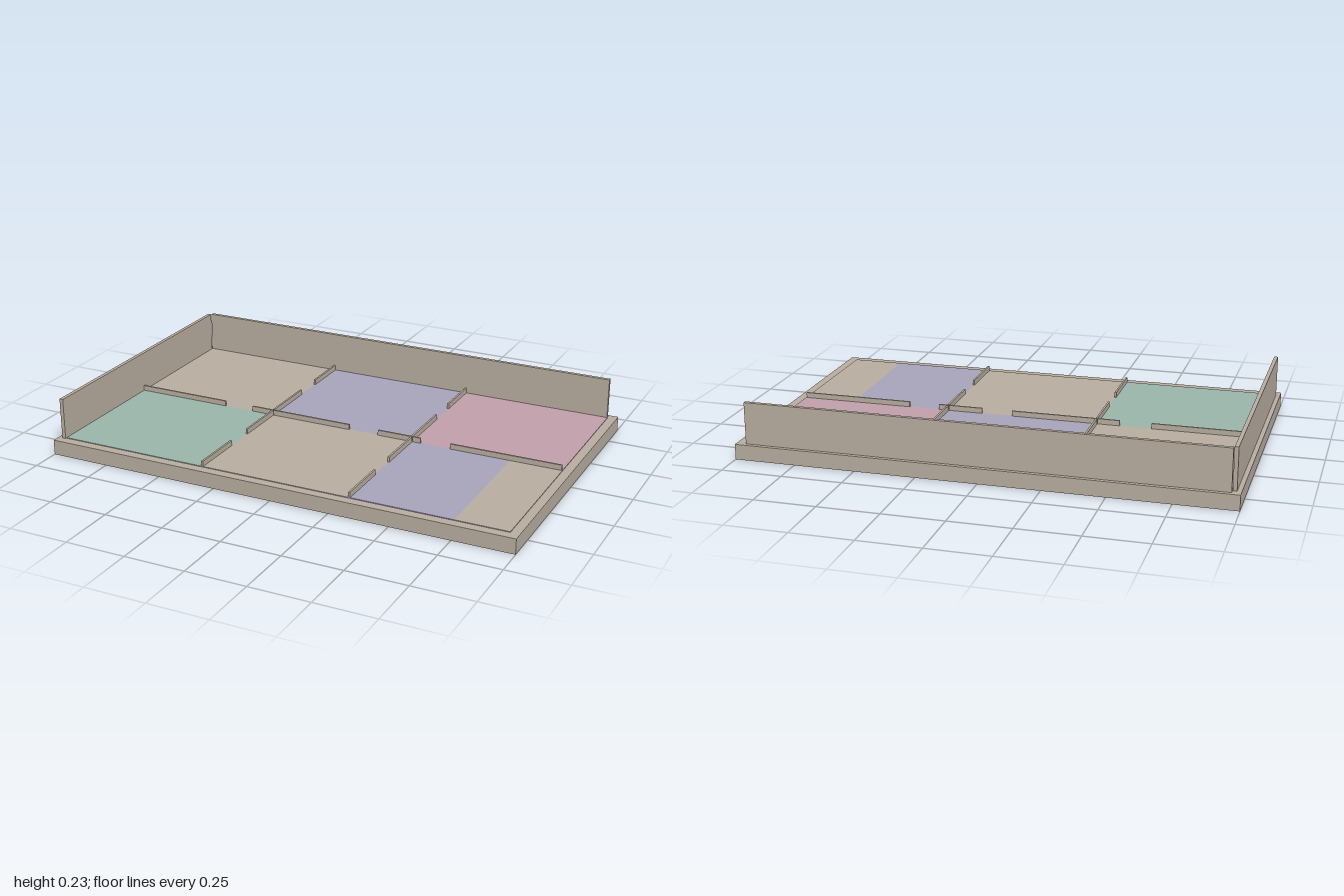
import * as THREE from 'three';

const material = (name, color) => {
  const m = new THREE.MeshStandardMaterial({ color });
  m.name = name;
  return m;
};

export function createModel() {
  const model = new THREE.Group();
  model.name = 'floorPlan';
  const stone = material('warm stone', 0xb8aea0);
  const lilac = material('muted lilac', 0xa8a3bb);
  const rose = material('muted rose', 0xc09fab);
  const sage = material('muted sage', 0x9bb5ab);

  // Box given by its extents on each axis
  const block = (name, mat, [x0, x1], [y0, y1], [z0, z1]) => {
    const mesh = new THREE.Mesh(new THREE.BoxGeometry(x1 - x0, y1 - y0, z1 - z0), mat);
    mesh.position.set((x0 + x1) / 2, (y0 + y1) / 2, (z0 + z1) / 2);
    mesh.name = name;
    model.add(mesh);
  };

  const top = 0.063, wallTop = 0.235, partitionTop = 0.088, t = 0.004;

  // Base slab and the two tall outer walls
  block('base', stone, [-1, 1], [0, top], [-0.625, 0.625]);
  block('backWall', stone, [-0.965, 0.96], [top, wallTop], [-0.608, -0.592]);
  block('rightWall', stone, [-0.982, -0.966], [top, wallTop], [-0.59, 0.59]);

  // Thin floor plates, one per room
  const back = [-0.59, 0], front = [0, 0.586];
  const rooms = [
    ['backRightFloor', stone, [-0.963, -0.32], back],
    ['backMiddleFloor', lilac, [-0.32, 0.32], back],
    ['backLeftFloor', rose, [0.32, 0.963], back],
    ['frontRightFloor', sage, [-0.963, -0.32], front],
    ['frontMiddleFloor', stone, [-0.32, 0.32], front],
    ['frontLeftFloor', lilac, [0.32, 0.746], front],
    ['sideFloor', stone, [0.746, 0.963], front],
  ];
  for (const [name, mat, x, z] of rooms) block(name, mat, x, [top, top + 0.003], z);

  // Low partitions along the middle, with door gaps
  for (const x of [[-0.963, -0.55], [-0.417, -0.325], [-0.315, 0.04], [0.17, 0.315], [0.325, 0.36], [0.49, 0.96]])
    block('longPartition', stone, x, [top, partitionTop], [-t, t]);

  // Low partitions across, with door gaps
  for (const x of [-0.32, 0.32])
    for (const z of [[-0.59, -0.388], [-0.256, -0.005], [0.005, 0.228], [0.358, 0.586]])
      block('crossPartition', stone, [x - t, x + t], [top, partitionTop], z);

  return model;
}
